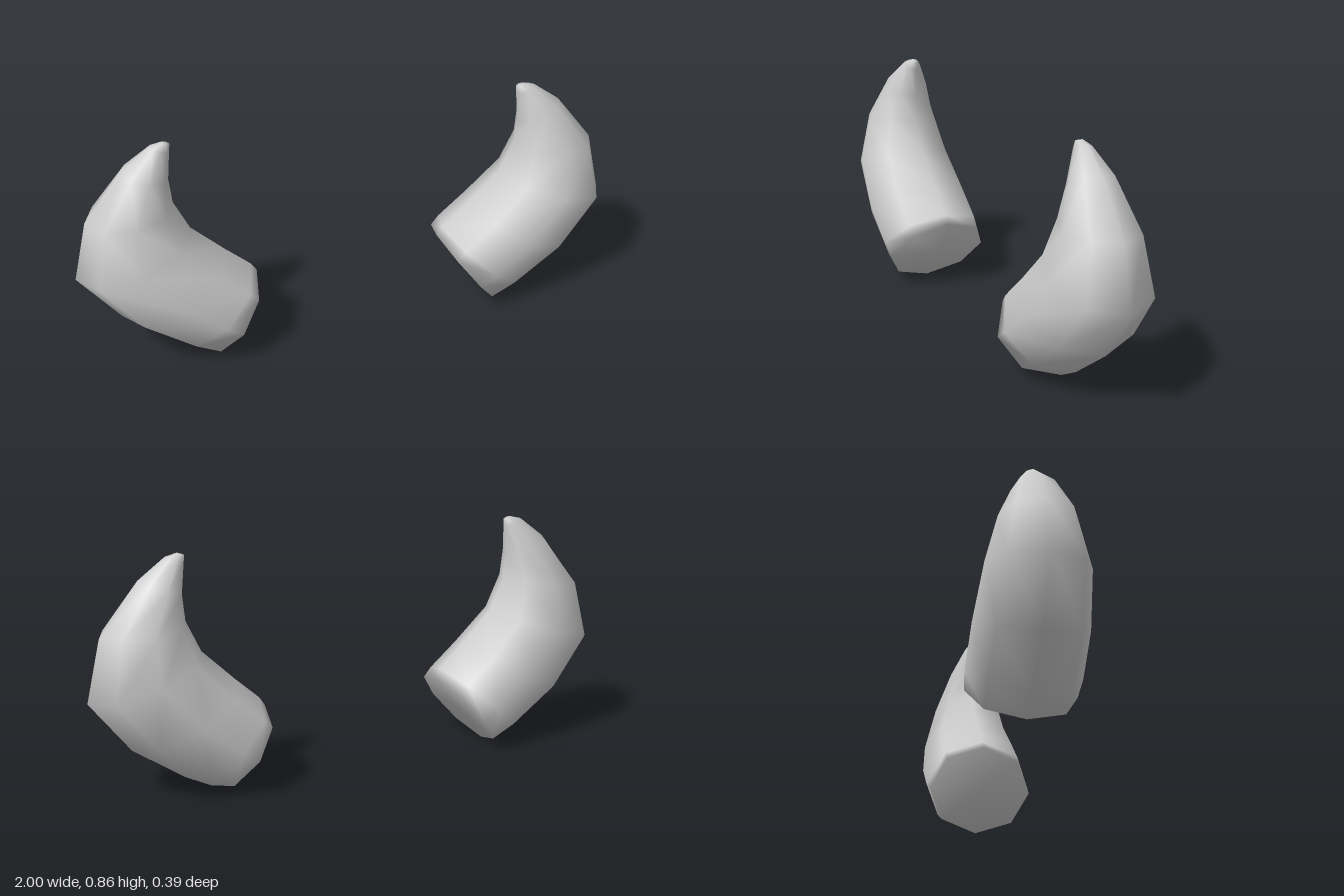
import * as THREE from 'three';

const SIDES = 8;

// Cross-sections from base to tip: inner edge x, y, outer edge x, y, half depth in z
const RINGS = [
  [0.35, 0.27, 0.56, 0.0, 0.19],
  [0.37, 0.30, 0.66, 0.05, 0.197],
  [0.465, 0.385, 0.85, 0.18, 0.195],
  [0.585, 0.50, 1.0, 0.37, 0.175],
  [0.64, 0.615, 0.95, 0.59, 0.133],
  [0.65, 0.71, 0.81, 0.77, 0.08],
  [0.64, 0.82, 0.71, 0.845, 0.03],
  [0.637, 0.846, 0.665, 0.856, 0.012],
];

// Curved, tapering horn; side is +1 for left and -1 for right
function hornGeometry(side) {
  const positions = [];
  const index = [];
  const tri = (a, b, c) => (side > 0 ? index.push(a, b, c) : index.push(a, c, b));

  for (const [ix, iy, ox, oy, depth] of RINGS) {
    for (let j = 0; j < SIDES; j++) {
      const a = (j / SIDES) * Math.PI * 2;
      const t = (1 + Math.cos(a)) / 2;
      positions.push(side * (ix + (ox - ix) * t), iy + (oy - iy) * t, depth * Math.sin(a));
    }
  }

  // Skin between neighbouring rings
  for (let i = 0; i < RINGS.length - 1; i++) {
    for (let j = 0; j < SIDES; j++) {
      const a = i * SIDES + j;
      const b = i * SIDES + ((j + 1) % SIDES);
      tri(a, a + SIDES, b);
      tri(b, a + SIDES, b + SIDES);
    }
  }

  // Caps at the base and the tip, sharing the skin's smooth normals
  const addCap = (i, flip) => {
    const [ix, iy, ox, oy] = RINGS[i];
    const centre = positions.length / 3;
    positions.push(side * (ix + ox) / 2, (iy + oy) / 2, 0);
    for (let j = 0; j < SIDES; j++) {
      const a = i * SIDES + j;
      const b = i * SIDES + ((j + 1) % SIDES);
      if (flip) tri(centre, b, a);
      else tri(centre, a, b);
    }
  };
  addCap(0, false);
  addCap(RINGS.length - 1, true);

  const geometry = new THREE.BufferGeometry();
  geometry.setAttribute('position', new THREE.Float32BufferAttribute(positions, 3));
  geometry.setIndex(index);
  geometry.computeVertexNormals();
  return geometry;
}

export function createModel() {
  const group = new THREE.Group();
  group.name = 'hornPair';
  const horn = new THREE.MeshStandardMaterial({ color: 0xcccccc });
  horn.name = 'horn grey';

  for (const [name, side] of [['leftHorn', 1], ['rightHorn', -1]]) {
    const mesh = new THREE.Mesh(hornGeometry(side), horn);
    mesh.name = name;
    group.add(mesh);
  }
  return group;
}
